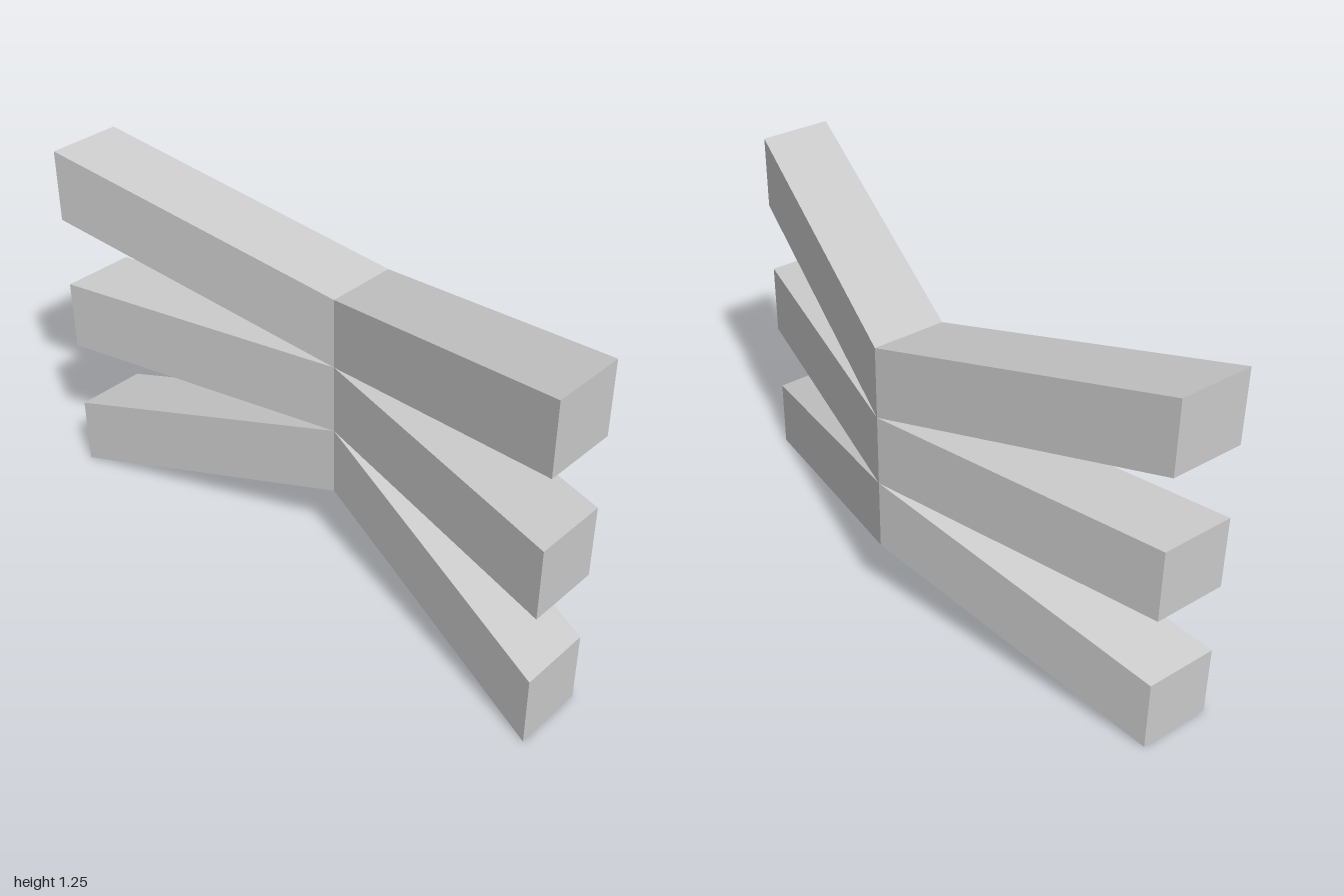
import * as THREE from 'three';

const SIZE = 0.25; // square section of every beam
const BEND = 0.25; // how far the ends shift from the middle

// Beam with a kink at x = 0: ends swing forward, and up or down by rise
function bentBeam(name, centreY, rise, material) {
  const geometry = new THREE.BoxGeometry(2, SIZE, SIZE, 2, 1, 1);
  const p = geometry.attributes.position;
  for (let i = 0; i < p.count; i++) {
    const t = Math.abs(p.getX(i));
    p.setY(i, p.getY(i) + centreY + rise * t);
    p.setZ(i, p.getZ(i) - SIZE / 2 + BEND * t);
  }
  const flat = geometry.toNonIndexed();
  flat.computeVertexNormals();
  const mesh = new THREE.Mesh(flat, material);
  mesh.name = name;
  return mesh;
}

export function createModel() {
  const group = new THREE.Group();
  group.name = 'bentBeams';
  const material = new THREE.MeshStandardMaterial({ color: 0xcccccc, flatShading: true });

  // Three stacked beams meeting at the middle and fanning out at the ends
  group.add(
    bentBeam('lowerBeam', 0.375, -BEND, material),
    bentBeam('middleBeam', 0.625, 0, material),
    bentBeam('upperBeam', 0.875, BEND, material)
  );
  return group;
}
